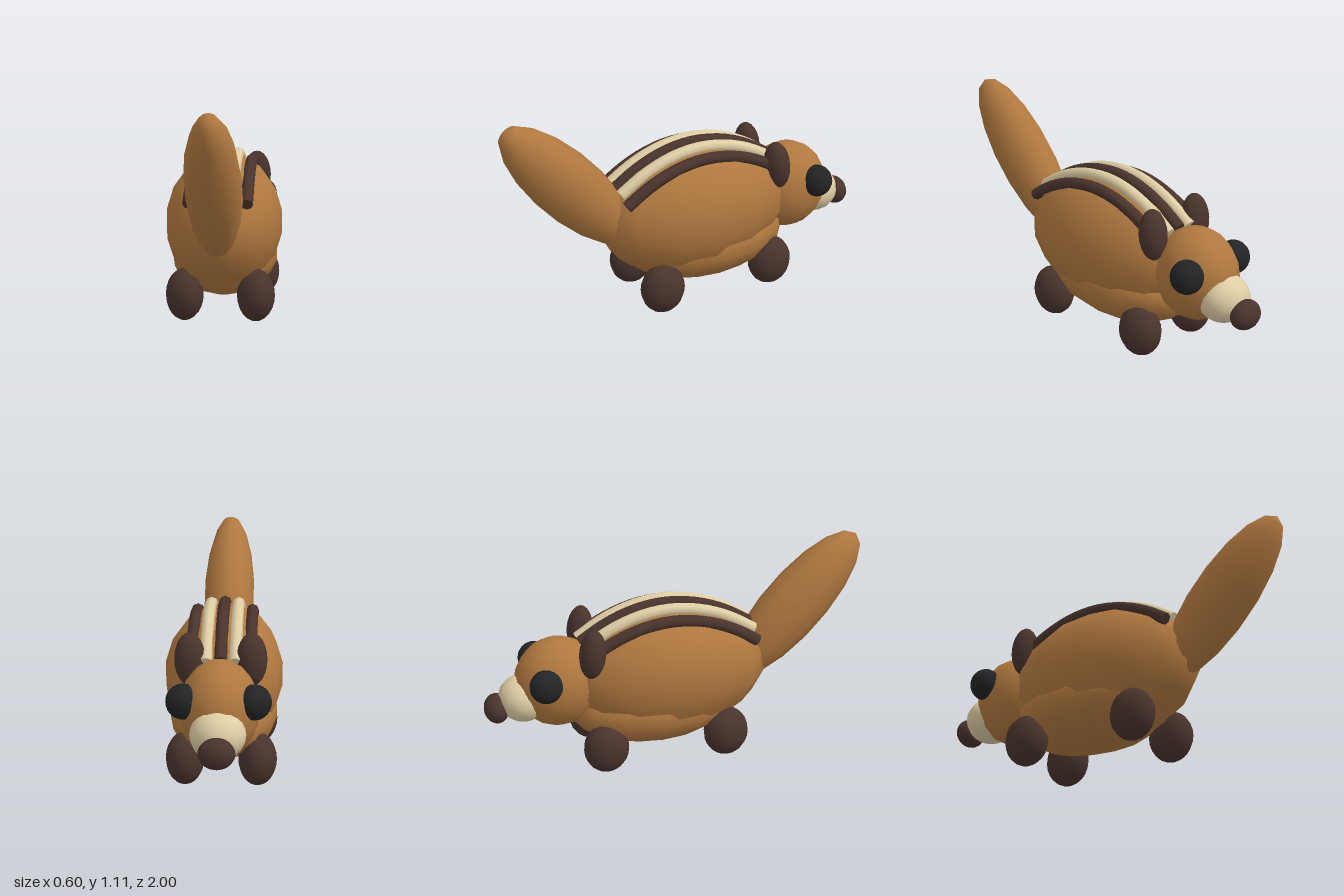
import * as THREE from 'three';

const mat = (name, color) => {
  const m = new THREE.MeshStandardMaterial({ color });
  m.name = name;
  return m;
};

export function createModel() {
  const group = new THREE.Group();
  const brown = mat('warm brown fur', 0xb0783f);
  const dark = mat('dark brown', 0x4a342d);
  const cream = mat('cream', 0xdfcda4);
  const black = mat('eye black', 0x222425);

  // Smooth ellipsoid with few sides; tilt turns it about x
  const blob = (name, material, pos, half, tilt = 0, sides = 14, rings = 9) => {
    const geo = new THREE.SphereGeometry(1, sides, rings);
    const mesh = new THREE.Mesh(geo, material);
    mesh.name = name;
    mesh.position.set(...pos);
    mesh.scale.set(...half);
    mesh.rotation.x = tilt;
    group.add(mesh);
    return mesh;
  };

  // Body, belly and raised tail
  blob('body', brown, [0, 0.465, -0.045], [0.305, 0.355, 0.54]);
  blob('belly', brown, [0, 0.285, -0.11], [0.277, 0.205, 0.46]);
  blob('tail', brown, [0, 0.725, 0.65], [0.138, 0.49, 0.168], 0.733, 12, 9);

  // Head, muzzle and nose, pointing to -z
  blob('head', brown, [0, 0.46, -0.615], [0.195, 0.238, 0.225], 0, 14, 10);
  blob('muzzle', cream, [0, 0.39, -0.795], [0.133, 0.122, 0.13], 0, 16, 12);
  blob('nose', dark, [0, 0.348, -0.935], [0.087, 0.075, 0.065], 0, 16, 12);

  // Paired parts
  for (const s of [1, -1]) {
    const side = s > 0 ? 'left' : 'right';
    blob(side + 'Eye', black, [s * 0.167, 0.522, -0.705], [0.083, 0.085, 0.083], 0, 20, 14);
    blob(side + 'Ear', dark, [s * 0.15, 0.66, -0.462], [0.075, 0.13, 0.067], 0.1, 16, 12);
    for (const [end, z] of [['Rear', 0.23], ['Front', -0.41]]) {
      blob(side + end + 'Foot', dark, [s * 0.18, 0.133, z], [0.096, 0.133, 0.118], 0, 16, 12);
    }
  }

  // Raised stripes arching along the back
  const stripes = [
    [-0.142, 0.783, dark], [-0.071, 0.818, cream], [0, 0.825, dark],
    [0.071, 0.818, cream], [0.142, 0.783, dark],
  ];
  stripes.forEach(([x, peak, material], i) => {
    const points = [];
    for (let k = 0; k <= 8; k++) {
      const t = -1 + k / 4;
      points.push(new THREE.Vector3(x, peak - 0.165 * t * t, -0.045 + 0.45 * t));
    }
    const tube = new THREE.TubeGeometry(new THREE.CatmullRomCurve3(points), 20, 0.031, 8, false);
    const mesh = new THREE.Mesh(tube, material);
    mesh.name = 'backStripe' + (i + 1);
    group.add(mesh);

    // Flat end caps
    for (const e of [0, 8]) {
      const cap = new THREE.Mesh(new THREE.CircleGeometry(0.031, 8), material);
      cap.name = 'backStripeEnd';
      cap.position.copy(points[e]);
      const inner = points[e === 0 ? 1 : 7];
      cap.lookAt(points[e].clone().multiplyScalar(2).sub(inner));
      group.add(cap);
    }
  });

  return group;
}
